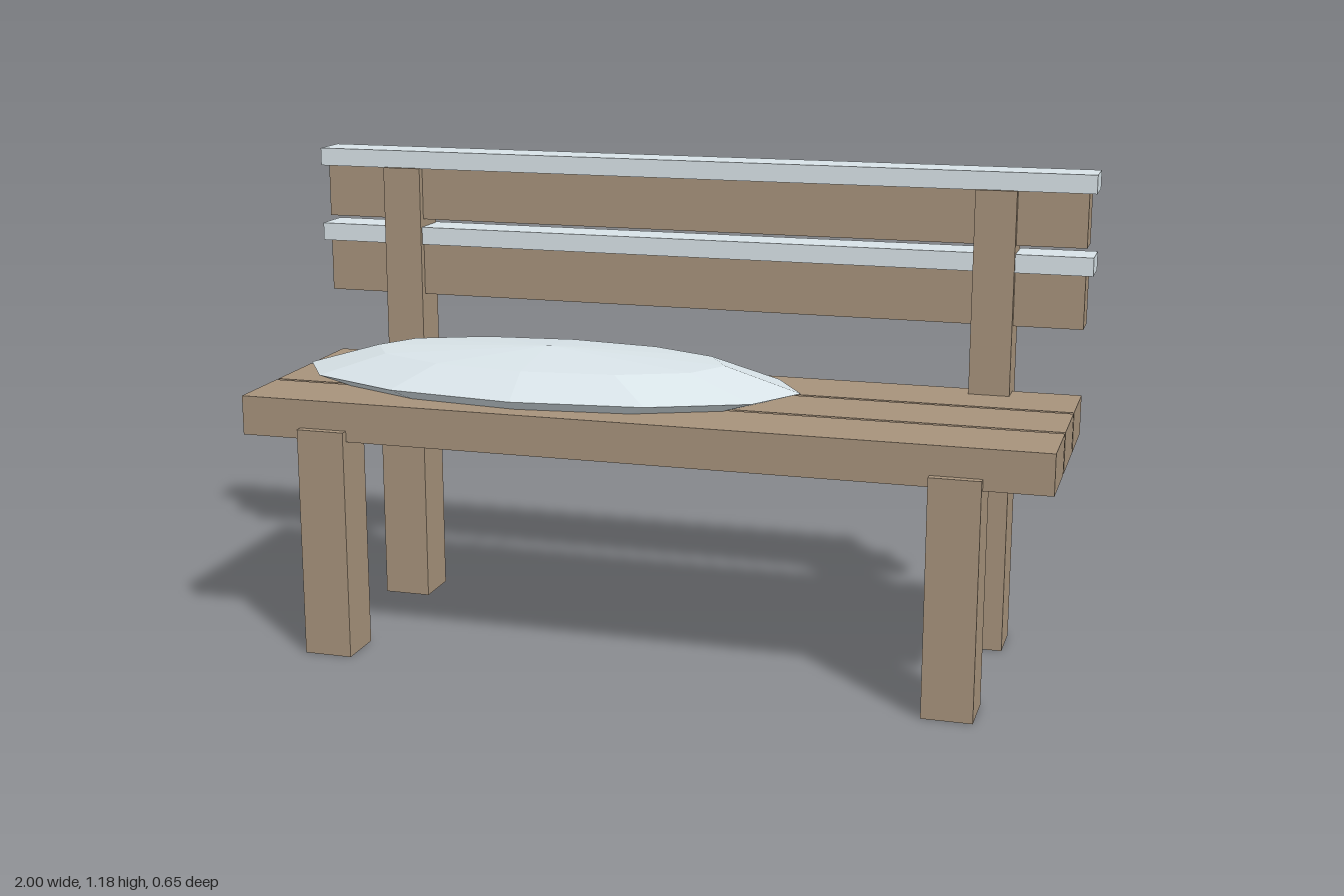
import * as THREE from 'three';

const wood = new THREE.MeshStandardMaterial({ color: 0xa6927b });
wood.name = 'weathered wood';
const snow = new THREE.MeshStandardMaterial({ color: 0xdde8ed, flatShading: true });
snow.name = 'snow';

// Box given by its lower and upper limits on each axis
function box(name, material, [x0, x1], [y0, y1], [z0, z1]) {
  const mesh = new THREE.Mesh(new THREE.BoxGeometry(x1 - x0, y1 - y0, z1 - z0), material);
  mesh.position.set((x0 + x1) / 2, (y0 + y1) / 2, (z0 + z1) / 2);
  mesh.name = name;
  return mesh;
}

export function createModel() {
  const bench = new THREE.Group();
  bench.name = 'snowyBench';

  // Three seat planks with narrow gaps
  for (const z of [0.213, 0.016, -0.181]) {
    bench.add(box('seatPlank', wood, [-0.982, 0.982], [0.543, 0.64], [z - 0.0925, z + 0.0925]));
  }

  // Legs and backrest posts at each end
  for (const [side, x] of [['right', -0.769], ['left', 0.765]]) {
    const legX = [x - 0.06, x + 0.06];
    bench.add(
      box(side + 'FrontLeg', wood, legX, [0, 0.57], [0.203, 0.325]),
      box(side + 'BackLeg', wood, legX, [0, 0.57], [-0.293, -0.17]),
      box(side + 'BackPost', wood, [x - 0.051, x + 0.049], [0.053, 1.141], [-0.315, -0.213])
    );
  }

  // Backrest boards, each with a strip of snow on top
  for (const [bottom, top] of [[0.811, 0.945], [1.008, 1.142]]) {
    bench.add(
      box('backBoard', wood, [-0.982, 0.982], [bottom, top], [-0.3155, -0.232]),
      box('snowStrip', snow, [-1, 1], [top - 0.002, top + 0.043], [-0.325, -0.222])
    );
  }

  // Flattened faceted heap of snow sunk into the seat
  const heap = new THREE.Mesh(new THREE.SphereGeometry(1, 12, 4), snow);
  heap.scale.set(0.64, 0.08, 0.278);
  heap.position.set(-0.295, 0.666, 0.01);
  heap.name = 'snowHeap';
  bench.add(heap);

  return bench;
}
